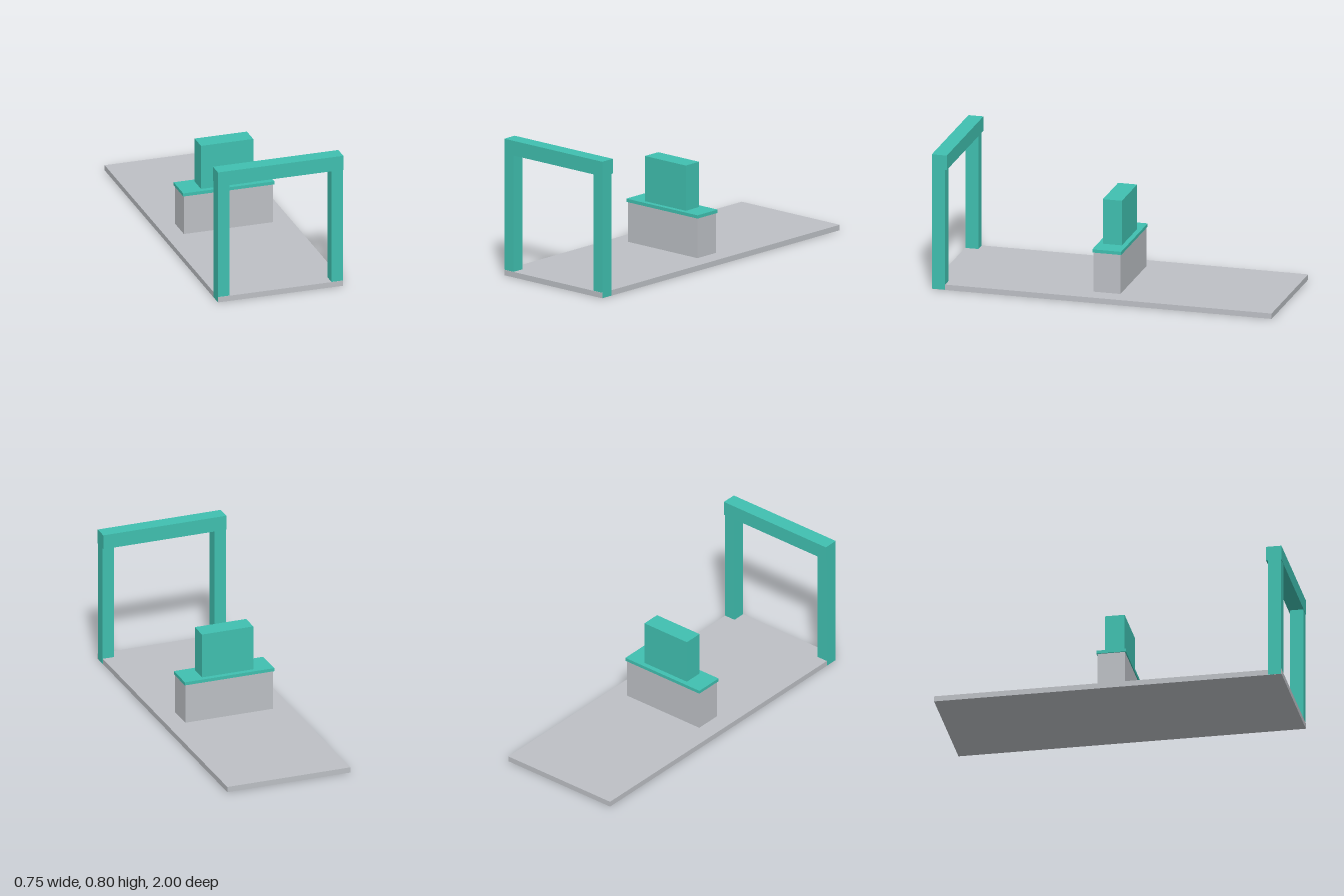
import * as THREE from 'three';

export function createModel() {
  const group = new THREE.Group();
  const teal = new THREE.MeshStandardMaterial({ name: 'teal', color: 0x40c0b0 });
  const grey = new THREE.MeshStandardMaterial({ name: 'light grey', color: 0xbdc0c5 });

  // Box given by its lower and upper limits on each axis
  function box(name, material, [x0, x1], [y0, y1], [z0, z1]) {
    const mesh = new THREE.Mesh(new THREE.BoxGeometry(x1 - x0, y1 - y0, z1 - z0), material);
    mesh.name = name;
    mesh.position.set((x0 + x1) / 2, (y0 + y1) / 2, (z0 + z1) / 2);
    group.add(mesh);
  }

  // Long ground slab
  box('baseSlab', grey, [-0.374, 0.374], [0, 0.032], [-1, 1]);

  // Central plinth, its cap and the upright block on top
  box('plinth', grey, [-0.266, 0.266], [0.032, 0.266], [-0.079, 0.079]);
  box('plinthCap', teal, [-0.272, 0.272], [0.266, 0.285], [-0.085, 0.085]);
  box('uprightBlock', teal, [-0.156, 0.156], [0.285, 0.55], [-0.056, 0.056]);

  // Gateway at the front edge; the posts run down the sides of the slab
  box('leftPost', teal, [0.305, 0.3745], [0.001, 0.714], [0.922, 0.998]);
  box('rightPost', teal, [-0.3745, -0.305], [0.001, 0.714], [0.922, 0.998]);
  box('gateBeam', teal, [-0.3745, 0.3745], [0.714, 0.8], [0.912, 1]);

  return group;
}
